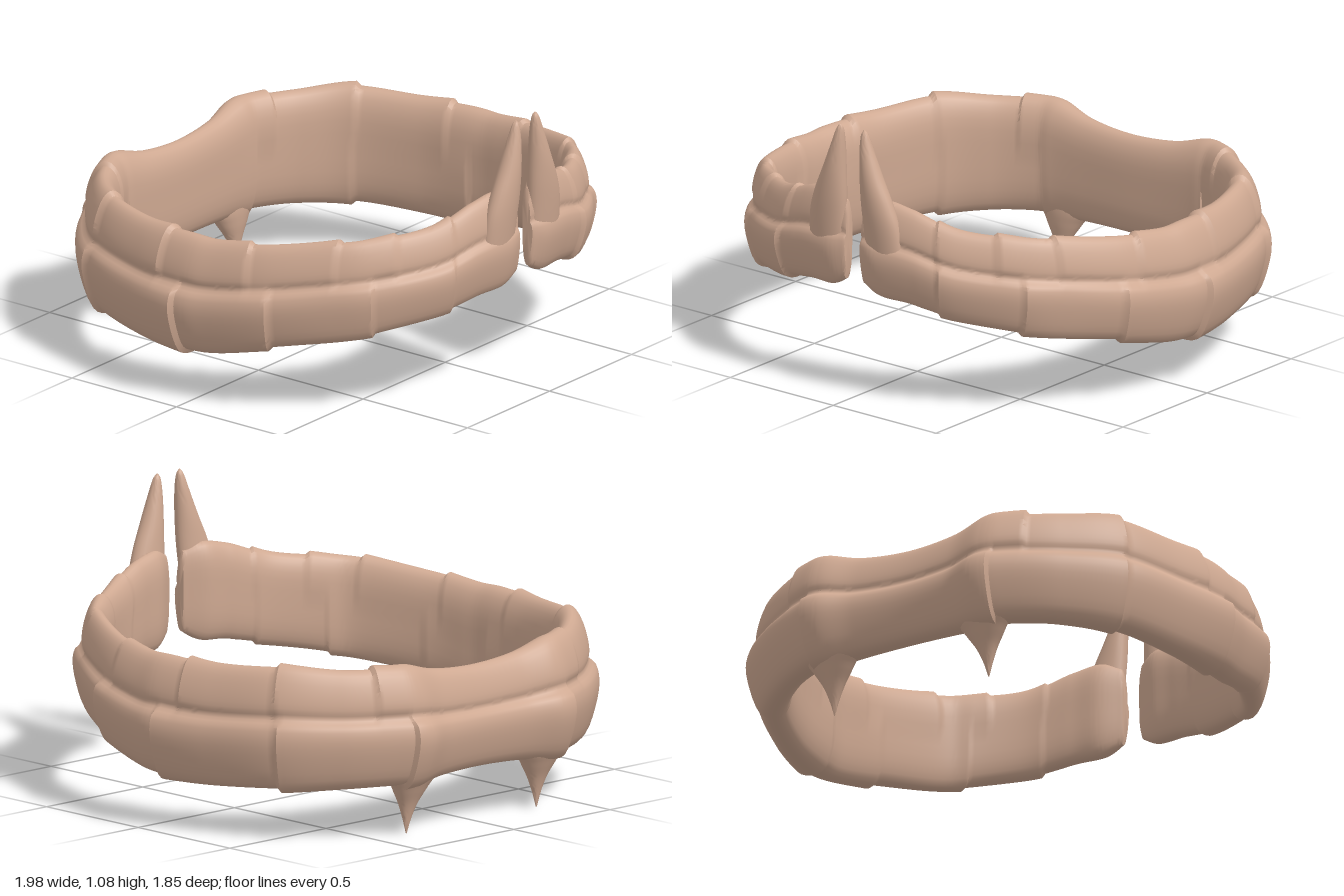
import * as THREE from 'three';
import { toCreasedNormals } from 'three/addons/utils/BufferGeometryUtils.js';

// Half of the band, back centre to front tip: outer x,z, inner x,z, top y, bottom y
const STATIONS = [
  [0, -.87, 0, -.715, .605, .205],
  [.2, -.885, .2, -.715, .62, .2],
  [.34, -.92, .35, -.71, .655, .19],
  [.46, -.88, .42, -.70, .655, .195],
  [.65, -.76, .56, -.62, .655, .195],
  [.84, -.56, .69, -.48, .665, .19],
  [.94, -.28, .77, -.24, .65, .18],
  [.98, -.05, .79, -.02, .655, .185],
  [.96, .1, .79, .1, .65, .2],
  [.90, .34, .76, .28, .67, .255],
  [.78, .56, .65, .53, .7, .30],
  [.66, .70, .55, .62, .71, .33],
  [.45, .835, .38, .72, .73, .37],
  [.27, .885, .22, .77, .78, .41],
  [.12, .91, .12, .79, .8, .42],
  [.045, .895, .045, .835, .77, .46],
];
const LAST = STATIONS.length - 1;

// Cross-section: u runs inner to outer, v runs bottom to top
const PROFILE = [
  [.45, 0], [.72, .05], [.91, .23], [1, .42], [.95, .53], [.76, .61], [.79, .67], [.74, .79],
  [.58, .94], [.38, 1], [.15, .95], [.01, .8], [0, .5], [.04, .2], [.18, .04],
];

// Where the overlapping plates end, in station units
const LOWER_JOINTS = [2.6, 4.95, 7, 9.05, 10.9, 12.3];
const UPPER_JOINTS = [3.4, 5, 6.55, 8.7, 10, 11.3, 12.4];

// Smooth interpolation of the station table (mirrored across the back centre)
function stationAt(k) {
  const i = Math.min(Math.floor(k), LAST - 1), t = k - i;
  const row = (n) => n < 0
    ? STATIONS[-n].map((v, c) => (c === 0 || c === 2 ? -v : v))
    : STATIONS[Math.min(n, LAST)];
  const [a, b, c, d] = [row(i - 1), row(i), row(i + 1), row(i + 2)];
  return b.map((p, n) => p + .5 * t * (c[n] - a[n] + t * (2 * a[n] - 5 * p + 4 * c[n] - d[n]
    + t * (3 * (p - c[n]) + d[n] - a[n]))));
}

// Rises slowly toward a joint and drops just past it
function flare(k, joints) {
  let start = 0;
  for (const end of joints) {
    if (k <= end) return ((k - start) / (end - start)) ** 2 * Math.min(1, k / 2);
    start = end;
  }
  return .35 * Math.min(1, (k - start) * 2);
}

// Closed, capped skin through a list of rings
function loft(rings, crease) {
  const n = rings[0].length, pos = [], idx = [];
  rings.forEach((r) => r.forEach((p) => pos.push(...p)));
  for (let i = 0; i < rings.length - 1; i++) {
    for (let j = 0; j < n; j++) {
      const a = i * n + j, c = i * n + (j + 1) % n;
      idx.push(a, c, a + n, c, c + n, a + n);
    }
  }
  const cap = (ring, first, flip) => {
    const centre = [0, 1, 2].map((c) => ring.reduce((s, p) => s + p[c], 0) / n);
    const m = pos.length / 3;
    pos.push(...centre);
    for (let j = 0; j < n; j++) {
      const a = first + j, b = first + (j + 1) % n;
      idx.push(m, flip ? b : a, flip ? a : b);
    }
  };
  cap(rings[0], 0, true);
  cap(rings[rings.length - 1], (rings.length - 1) * n, false);
  const g = new THREE.BufferGeometry();
  g.setAttribute('position', new THREE.Float32BufferAttribute(pos, 3));
  // Outward winding: ring order runs counter-clockwise about the path
  for (let i = 0; i < (rings.length - 1) * n * 6; i += 3) {
    [idx[i + 1], idx[i + 2]] = [idx[i + 1], idx[i + 2]];
  }
  g.setIndex(idx);
  return toCreasedNormals(g, crease);
}

// Plated band swept from one front tip round the back to the other
function bandGeometry() {
  const loop = new THREE.CatmullRomCurve3(
    PROFILE.map(([u, v]) => new THREE.Vector3(u, v, 0)), true).getPoints(44).slice(0, -1);
  const steps = LAST * 14, rings = [];
  const ringAt = (k, side, shrink = 1) => {
    const [ox, oz, ix, iz, top, bottom] = stationAt(k);
    const low = flare(k, LOWER_JOINTS), high = flare(k, UPPER_JOINTS);
    return loop.map((p) => {
      const w = THREE.MathUtils.smoothstep(p.y, .52, .68);
      const f = THREE.MathUtils.lerp(low, high, w) - .35;
      const u = .5 + (p.x * (1 + .14 * f) - .04 * f - .5) * shrink;
      const v = .5 + (p.y - .5) * (1 + .07 * f) * shrink;
      const x = ix + (ox - ix) * u - (shrink < 1 ? .008 : 0);
      return [side * x, bottom + (top - bottom) * v, iz + (oz - iz) * u];
    });
  };
  for (let i = -steps; i <= steps; i++) {
    const k = Math.abs(i) / 14;
    rings.push(ringAt(k, i < 0 ? -1 : 1));
  }
  // rounded ends
  rings.unshift(ringAt(LAST, -1, .8));
  rings.push(ringAt(LAST, 1, .8));
  return loft(rings, .7);
}

// Pointed spur through levels of [y, centre x, centre z, radius x, radius z], bottom to top
function spurGeometry(levels, side) {
  const at = (c, t) => {
    const f = t * (levels.length - 1), i = Math.min(Math.floor(f), levels.length - 2);
    const v = (n) => levels[THREE.MathUtils.clamp(n, 0, levels.length - 1)][c];
    const s = f - i, a = v(i - 1), b = v(i), d = v(i + 1), e = v(i + 2);
    return b + .5 * s * (d - a + s * (2 * a - 5 * b + 4 * d - e + s * (3 * (b - d) + e - a)));
  };
  const rings = [];
  for (let i = 0; i <= 28; i++) {
    const [y, cx, cz, rx, rz] = [0, 1, 2, 3, 4].map((c) => at(c, i / 28));
    rings.push(Array.from({ length: 24 }, (_, j) => {
      const a = j / 24 * Math.PI * 2;
      return [side * cx + Math.sin(a) * rx, y, cz + Math.cos(a) * rz];
    }));
  }
  return loft(rings, 1.2);
}

const HORN = [
  [.55, .14, .855, .085, .04], [.7, .13, .868, .083, .046], [.8, .112, .876, .07, .046],
  [.9, .089, .881, .048, .041], [1, .069, .884, .028, .028], [1.06, .06, .885, .015, .014],
  [1.08, .058, .885, .002, .002],
];
const SPIKE = [
  [0, .338, -.768, .002, .002], [.06, .337, -.77, .02, .014], [.12, .335, -.775, .045, .03],
  [.18, .333, -.785, .082, .05], [.25, .332, -.8, .12, .068], [.38, .335, -.82, .1, .075],
];

export function createModel() {
  const group = new THREE.Group();
  const bone = new THREE.MeshStandardMaterial({ color: 0xcfa992 });
  bone.name = 'bone';
  const add = (name, geometry) => {
    const mesh = new THREE.Mesh(geometry, bone);
    mesh.name = name;
    group.add(mesh);
  };
  add('platedBand', bandGeometry());
  for (const side of [1, -1]) {
    const label = side > 0 ? 'left' : 'right';
    add(label + 'FrontHorn', spurGeometry(HORN, side));
    add(label + 'BackSpike', spurGeometry(SPIKE, side));
  }
  return group;
}
